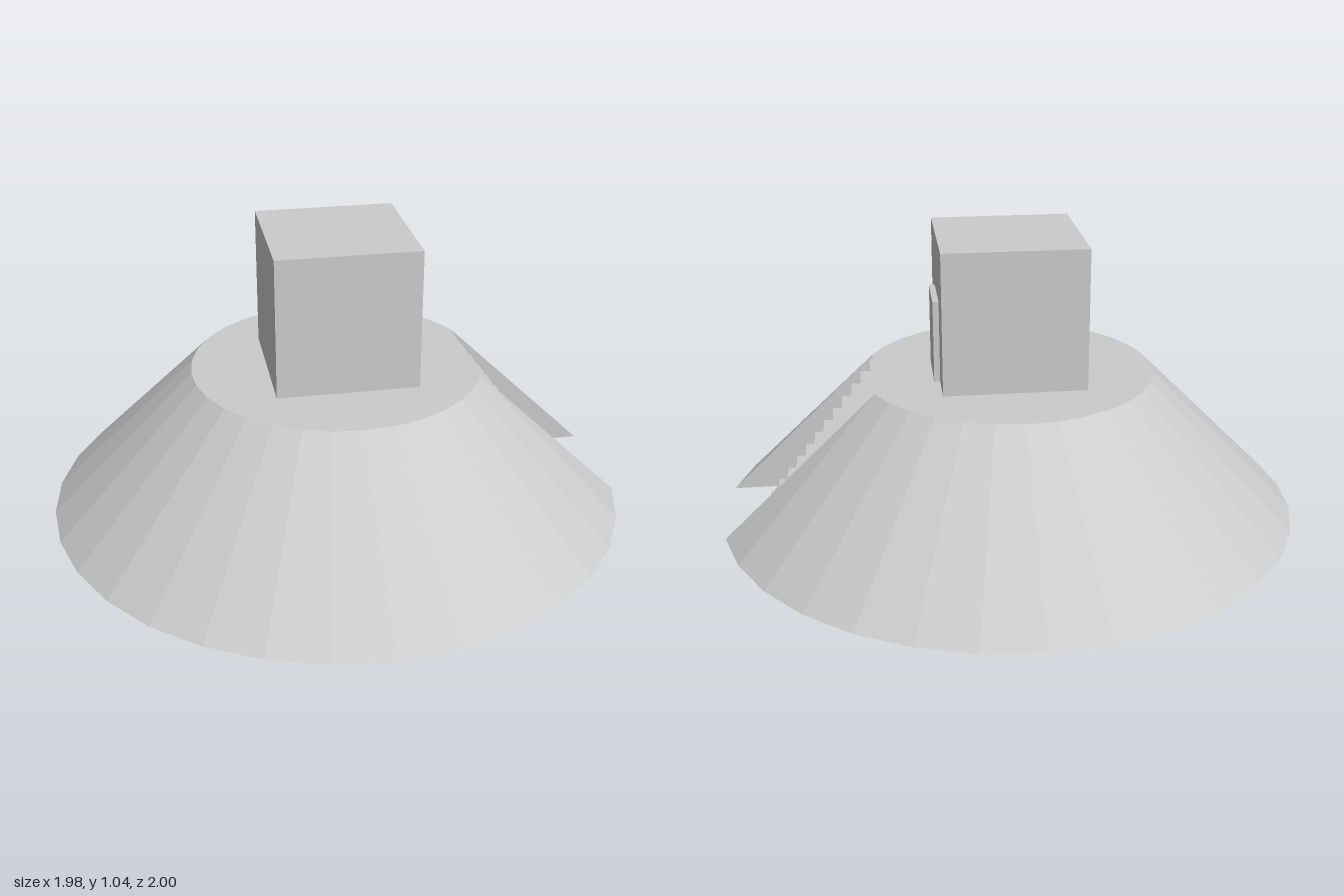
import * as THREE from 'three';

export function createModel() {
  const model = new THREE.Group();
  const stone = new THREE.MeshStandardMaterial({ color: 0xcccccc, flatShading: true });
  stone.name = 'grey stone';
  const sheet = new THREE.MeshStandardMaterial({ color: 0xcccccc, flatShading: true, side: THREE.DoubleSide });
  sheet.name = 'grey stone sheet';

  const add = (name, geometry, material = stone, parent = model) => {
    const mesh = new THREE.Mesh(geometry, material);
    mesh.name = name;
    parent.add(mesh);
    return mesh;
  };
  const box = (name, w, h, d, x, y, z, parent = model) =>
    add(name, new THREE.BoxGeometry(w, h, d), stone, parent).position.set(x, y, z);
  // Geometry from a list of triangles, each three [x, y, z] corners
  const fromTriangles = (tris) => {
    const g = new THREE.BufferGeometry();
    g.setAttribute('position', new THREE.Float32BufferAttribute(tris.flat(2), 3));
    g.computeVertexNormals();
    return g;
  };

  // Faceted mound with a slot cut in its +x side
  const OFFSET = 0.006, BASE = 0.065, TOP = 0.565, SIDES = 32;
  const ring = (r, y, i) => {
    const a = (i / SIDES) * Math.PI * 2;
    return [OFFSET + r * Math.cos(a), y, r * Math.sin(a)];
  };
  const low = (i) => ring(1, BASE, i);
  const high = (i) => ring(0.5, TOP, i);
  const slope = [[low(1), high(2), low(2)], [low(30), high(30), low(31)]];
  for (let i = 2; i < 30; i++) {
    slope.push([low(i), high(i), high(i + 1)], [low(i), high(i + 1), low(i + 1)]);
  }
  add('moundSlope', fromTriangles(slope));

  // Flat caps drawn in (x, -z) and laid down
  const cap = (points, y, up) => {
    const shape = new THREE.Shape(points.map(([x, , z]) => new THREE.Vector2(x, up ? -z : z)));
    return new THREE.ShapeGeometry(shape).rotateX(up ? -Math.PI / 2 : Math.PI / 2).translate(0, y, 0);
  };
  const topRing = [], baseRing = [];
  for (let i = 2; i <= 30; i++) topRing.push(high(i));
  for (let i = 1; i <= 31; i++) baseRing.push(low(i));
  const innerX = high(2)[0], slotZ = low(1)[2];
  const cornerL = [innerX, BASE, slotZ], cornerR = [innerX, BASE, -slotZ];
  baseRing.push(cornerR, cornerL);
  add('moundTop', cap(topRing, TOP, true));
  add('moundBase', cap(baseRing, BASE, false));

  // Walls of the slot
  add('slotWalls', fromTriangles([
    [low(1), cornerL, high(2)],
    [low(31), high(30), cornerR],
    [cornerL, cornerR, high(30)],
    [cornerL, high(30), high(2)],
  ]), sheet);

  // Open staircase: thin treads, and risers above all but the lowest tread
  const stairs = new THREE.Group();
  stairs.name = 'stairs';
  model.add(stairs);
  const STEPS = 13, RUN = 0.0347, RISE = 0.0457, WIDTH = 0.4;
  for (let i = 0; i < STEPS; i++) {
    const x = 0.86 - RUN * i, y = RISE * i;
    add('tread', new THREE.PlaneGeometry(RUN, WIDTH).rotateX(-Math.PI / 2), sheet, stairs)
      .position.set(x + RUN / 2, y, 0);
    if (i > 0 && i < STEPS - 1) {
      add('riser', new THREE.PlaneGeometry(WIDTH, RISE).rotateY(Math.PI / 2), sheet, stairs)
        .position.set(x, y + RISE / 2, 0);
    }
  }
  // Side panels under the steps
  for (const s of [1, -1]) {
    const z = s * WIDTH / 2;
    add('stairSide', fromTriangles([
      [[0.395, 0.047, z], [0.85, 0.044, z], [0.44, 0.53, z]],
    ]), sheet, stairs);
  }

  // Cubic chamber with a double door facing the stairs
  box('chamber', 0.48, 0.48, 0.48, OFFSET, TOP + 0.24, 0);
  for (const s of [1, -1]) {
    box('doorLeaf', 0.02, 0.28, 0.1, OFFSET + 0.25, TOP + 0.14, s * 0.05 - 0.003);
  }

  // Small peg under the centre
  box('peg', 0.016, 0.014, 0.016, OFFSET, BASE - 0.005, 0);

  return model;
}
